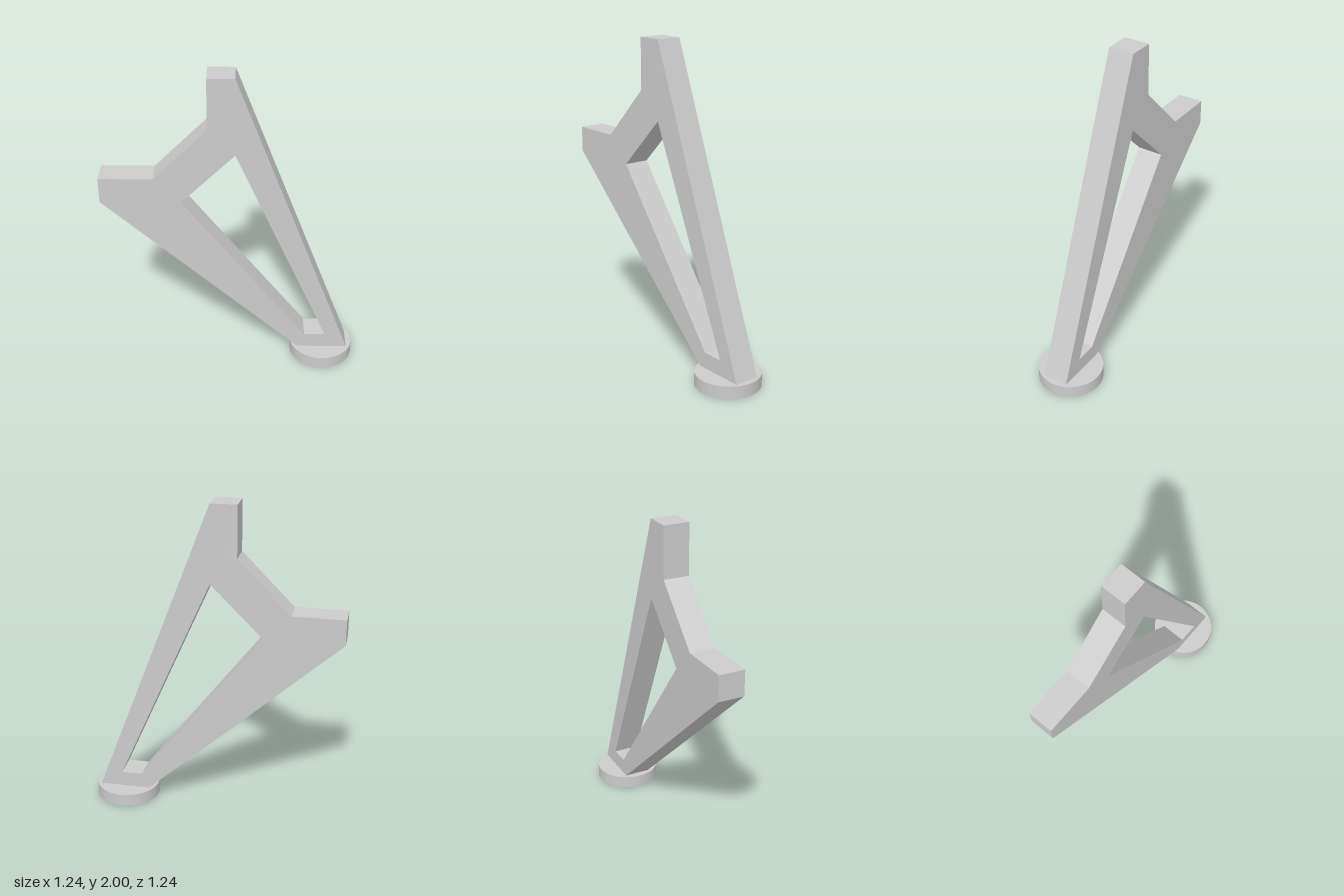
import * as THREE from 'three';

const DIAGONAL = Math.SQRT2; // the plate stands on the x = z diagonal
const THICKNESS = 0.163;

// [x on the diagonal, height]
const OUTLINE = [
  [0.302, 0.08], [0.53, 0.08], [0.0125, 2], [-0.1025, 2],
  [-0.1025, 1.68], [-0.3325, 1.35], [-0.5625, 1.35], [-0.5625, 1.19],
];
const OPENING = [[0.0125, 1.515], [-0.2175, 1.19], [0.3325, 0.18], [0.4275, 0.18]];

const toPlane = (points) => points.map(([x, y]) => new THREE.Vector2(x * DIAGONAL, y));

export function createModel() {
  const group = new THREE.Group();
  const material = new THREE.MeshStandardMaterial({ color: 0xcccccc });

  // Forked plate with a tapering opening, turned 45 degrees
  const shape = new THREE.Shape(toPlane(OUTLINE));
  shape.holes.push(new THREE.Path(toPlane(OPENING)));
  const plateGeometry = new THREE.ExtrudeGeometry(shape, { depth: THICKNESS, bevelEnabled: false });
  plateGeometry.translate(0, 0, -THICKNESS / 2);
  const plate = new THREE.Mesh(plateGeometry, material);
  plate.name = 'forkedPlate';
  plate.rotation.y = -Math.PI / 4;
  group.add(plate);

  // Round foot under the narrow end
  const foot = new THREE.Mesh(new THREE.CylinderGeometry(0.2025, 0.2025, 0.08, 64), material);
  foot.name = 'roundFoot';
  foot.position.set(0.414, 0.04, 0.414);
  group.add(foot);

  return group;
}
